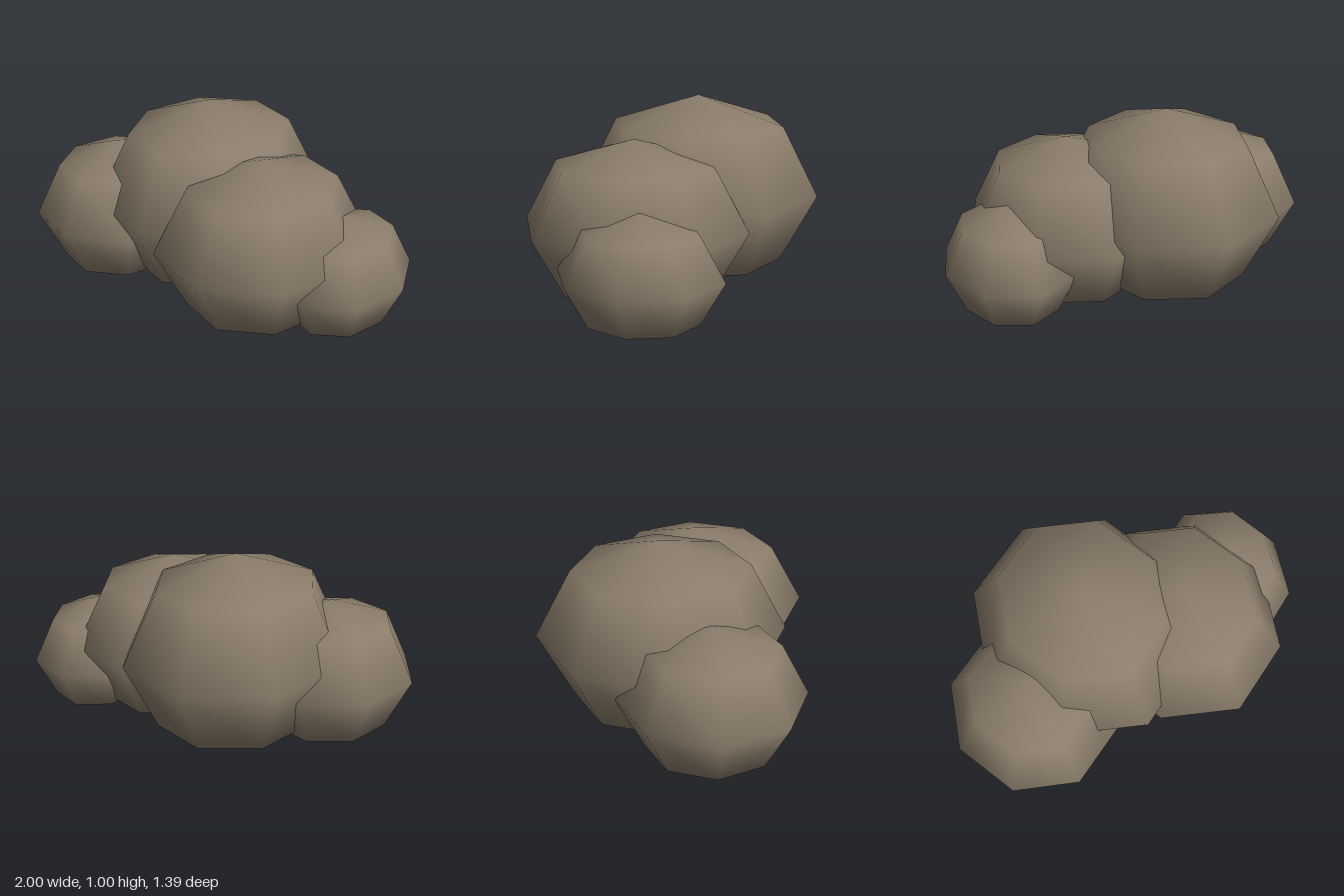
import * as THREE from 'three';

export function createModel() {
  const group = new THREE.Group();
  group.name = 'boulderCluster';
  const stone = new THREE.MeshStandardMaterial({ color: 0x8b7d6b });
  stone.name = 'stone';

  // Eight-sided smooth boulder, stretched into an ellipsoid
  function boulder(name, centre, radii) {
    const geometry = new THREE.SphereGeometry(1, 8, 4);
    geometry.scale(...radii);
    const mesh = new THREE.Mesh(geometry, stone);
    mesh.name = name;
    mesh.position.set(...centre);
    group.add(mesh);
  }

  boulder('largeBackBoulder', [-0.15, 0.505, -0.08], [0.56, 0.494, 0.62]);
  boulder('frontBoulder', [0.295, 0.431, 0.13], [0.51, 0.429, 0.565]);
  boulder('rightBoulder', [-0.575, 0.387, 0.13], [0.425, 0.367, 0.455]);
  boulder('smallLeftBoulder', [0.67, 0.314, 0], [0.33, 0.3, 0.4]);

  return group;
}
